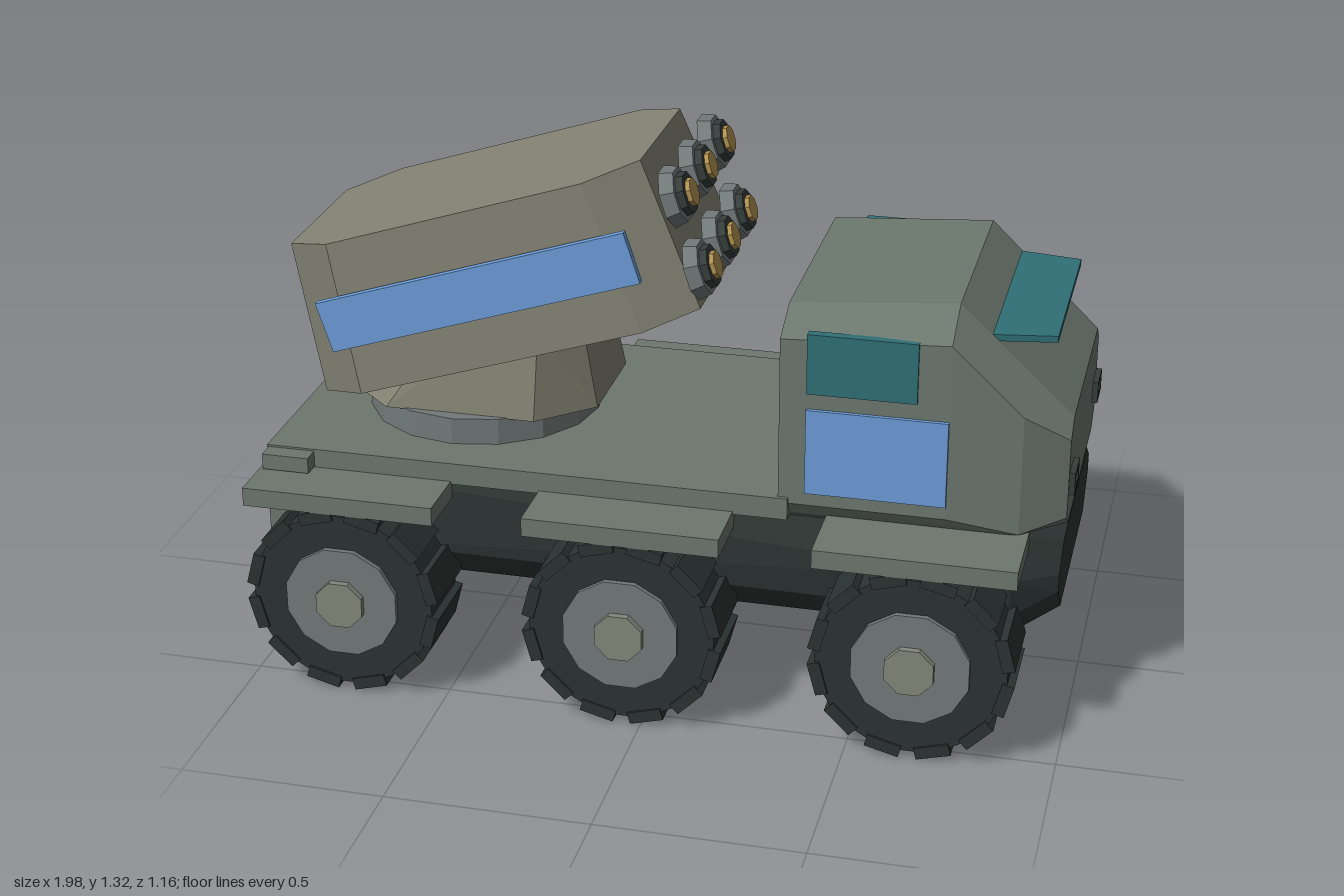
import * as THREE from 'three';
import { ConvexGeometry } from 'three/addons/geometries/ConvexGeometry.js';

const mat = (color) => new THREE.MeshStandardMaterial({ color, flatShading: true });
const M = {
  body: mat(0x6c776e), hull: mat(0x2d3634), tyre: mat(0x2b3332), rim: mat(0x727b7a),
  cap: mat(0x83877a), pod: mat(0x828172), teal: mat(0x2f7076), blue: mat(0x6c9cd8),
  gold: mat(0xb09150), dark: mat(0x353d3b), lamp: mat(0xd8d6c4),
};

function add(parent, name, geometry, material, x = 0, y = 0, z = 0) {
  const mesh = new THREE.Mesh(geometry, material);
  mesh.name = name;
  mesh.position.set(x, y, z);
  parent.add(mesh);
  return mesh;
}

// Box given by its min and max on each axis
function block(parent, name, material, x0, x1, y0, y1, z0, z1) {
  return add(parent, name, new THREE.BoxGeometry(x1 - x0, y1 - y0, z1 - z0), material,
    (x0 + x1) / 2, (y0 + y1) / 2, (z0 + z1) / 2);
}

// Faceted convex solid from half sections [x, y, z], mirrored across z
function solid(points) {
  const all = [];
  for (const [x, y, z] of points)
    for (const s of [-1, 1]) all.push(new THREE.Vector3(x, y, z * s));
  return new ConvexGeometry(all);
}

// Half of a chamfered plan outline at height y
const plan = (y, x0, x1, z, cx, cz) =>
  [[x0, y, z - cz], [x0 + cx, y, z], [x1 - cx, y, z], [x1, y, z - cz]];

// Disc or drum whose axis is z
function drum(parent, name, material, r, sides, z0, z1) {
  const g = new THREE.CylinderGeometry(r, r, z1 - z0, sides);
  g.rotateY(Math.PI / sides).rotateX(Math.PI / 2);
  return add(parent, name, g, material, 0, 0, (z0 + z1) / 2);
}

function makeWheel(x, side) {
  const wheel = new THREE.Group();
  wheel.name = 'wheel';
  drum(wheel, 'tyre', M.tyre, 0.236, 12, -0.095, 0.092);
  drum(wheel, 'rim', M.rim, 0.145, 12, -0.08, 0.105);
  drum(wheel, 'hubCap', M.cap, 0.063, 8, 0.1, 0.122);
  // Raised tread blocks
  for (let i = 0; i < 12; i++) {
    const a = (i + 0.5) * Math.PI / 6;
    const tread = add(wheel, 'tread', new THREE.BoxGeometry(0.085, 0.03, 0.195), M.tyre,
      Math.sin(a) * 0.228, Math.cos(a) * 0.228, 0);
    tread.rotation.z = -a;
  }
  wheel.position.set(x, 0.245, side * 0.457);
  if (side < 0) wheel.rotation.y = Math.PI;
  return wheel;
}

function makeCab() {
  const cab = new THREE.Group();
  cab.name = 'cab';
  add(cab, 'cabBody', solid([
    [0.3, 0.51, 0.36], [0.3, 0.56, 0.395], [0.3, 0.98, 0.395], [0.3, 1.03, 0.29],
    [0.7, 0.51, 0.36], [0.7, 0.56, 0.395], [0.7, 1.0, 0.395], [0.7, 1.06, 0.28],
    [0.87, 0.53, 0.375], [0.87, 0.83, 0.375],
    [0.975, 0.525, 0.27], [0.975, 0.56, 0.32], [0.975, 0.76, 0.32], [0.975, 0.8, 0.27],
  ]), M.body);
  // Visor above the windscreen
  add(cab, 'visor', solid([
    [0.77, 0.972, 0.275], [0.77, 0.988, 0.275], [0.925, 0.972, 0.25], [0.925, 0.988, 0.25],
  ]), M.teal);
  for (const s of [-1, 1]) {
    const window = block(cab, 'sideWindow', M.teal, 0.365, 0.625, 0.85, 1.0, -0.012, 0.012);
    window.position.z = s * 0.39;
    const door = block(cab, 'door', M.blue, 0.365, 0.7, 0.595, 0.81, -0.012, 0.012);
    door.position.z = s * 0.393;
    // Headlight: frame of four bars around a lamp
    const light = new THREE.Group();
    light.name = 'headlight';
    block(light, 'lampFrame', M.dark, -0.01, 0.012, 0.013, 0.028, -0.045, 0.045);
    block(light, 'lampFrame', M.dark, -0.01, 0.012, -0.028, -0.013, -0.045, 0.045);
    block(light, 'lampFrame', M.dark, -0.01, 0.012, -0.02, 0.02, 0.031, 0.045);
    block(light, 'lampFrame', M.dark, -0.01, 0.012, -0.02, 0.02, -0.045, -0.031);
    block(light, 'lamp', M.lamp, -0.01, 0.004, -0.014, 0.014, -0.032, 0.032);
    light.position.set(0.977, 0.645, s * 0.268);
    cab.add(light);
  }
  return cab;
}

function makeLauncher() {
  const launcher = new THREE.Group();
  launcher.name = 'launcher';
  // Local x is the firing axis
  add(launcher, 'pod', solid([
    ...plan(-0.19, -0.514, 0.496, 0.305, 0.13, 0.085),
    ...plan(0.194, -0.473, 0.462, 0.283, 0.13, 0.085),
  ]), M.pod);
  for (const s of [-1, 1]) {
    const panel = block(launcher, 'sidePanel', M.blue, -0.408, 0.408, -0.065, 0.065, -0.01, 0.01);
    panel.position.z = s * 0.31;
  }
  // Two rows of three tube muzzles
  for (const v of [0.09, -0.097]) {
    for (const z of [-0.197, 0, 0.197]) {
      const tube = new THREE.Group();
      tube.name = 'launchTube';
      [['tubeCollar', M.rim, 0.076, 0.503, 0.537], ['tubeRing', M.dark, 0.058, 0.51, 0.555],
        ['tubeCore', M.gold, 0.038, 0.52, 0.566]].forEach(([name, m, r, u0, u1]) => {
        const g = new THREE.CylinderGeometry(r * 0.88, r, u1 - u0, 8);
        g.rotateY(Math.PI / 8).rotateZ(-Math.PI / 2);
        add(tube, name, g, m, (u0 + u1) / 2, 0, 0);
      });
      tube.position.set(0, v, z);
      launcher.add(tube);
    }
  }
  launcher.position.set(-0.46, 0.99, 0);
  launcher.rotation.z = Math.PI / 10;
  return launcher;
}

export function createModel() {
  const model = new THREE.Group();
  model.name = 'rocketTruck';

  // Dark lower hull with a tapered nose
  add(model, 'hull', solid([
    [-0.995, 0.27, 0.3], [-0.995, 0.33, 0.36], [-0.995, 0.48, 0.36],
    [-0.95, 0.245, 0.33], [-0.95, 0.33, 0.395], [-0.95, 0.525, 0.395],
    [0.86, 0.245, 0.33], [0.86, 0.32, 0.395], [0.86, 0.42, 0.41], [0.86, 0.52, 0.37],
    [0.968, 0.295, 0.26], [0.968, 0.375, 0.34], [0.968, 0.42, 0.34], [0.968, 0.475, 0.26],
  ]), M.hull);
  block(model, 'deck', M.body, -0.982, 0.325, 0.52, 0.575, -0.405, 0.405);

  for (const s of [-1, 1]) {
    const mirrored = (name, x0, x1, y0, y1, z0, z1) =>
      block(model, name, M.body, x0, x1, y0, y1, Math.min(s * z0, s * z1), Math.max(s * z0, s * z1));
    mirrored('rearPost', -0.987, -0.89, 0.27, 0.52, 0.365, 0.405);
    mirrored('deckCornerBlock', -0.978, -0.86, 0.53, 0.57, 0.4, 0.45);
    for (const x of [-0.75, -0.047, 0.653]) {
      mirrored('fender', x - 0.24, x + 0.24, 0.48, 0.527, 0.34, 0.557);
      model.add(makeWheel(x, s));
    }
  }

  model.add(makeCab());

  // Turntable and pedestal under the launcher
  add(model, 'turntable', new THREE.CylinderGeometry(0.295, 0.295, 0.075, 16), M.rim, -0.54, 0.605, 0);
  add(model, 'pedestal', solid([
    ...plan(0.64, -0.85, -0.21, 0.26, 0.13, 0.12),
    ...plan(0.73, -0.79, -0.235, 0.24, 0.13, 0.12),
    ...plan(0.88, -0.5, -0.255, 0.22, 0.08, 0.1),
  ]), M.pod);
  model.add(makeLauncher());
  return model;
}
